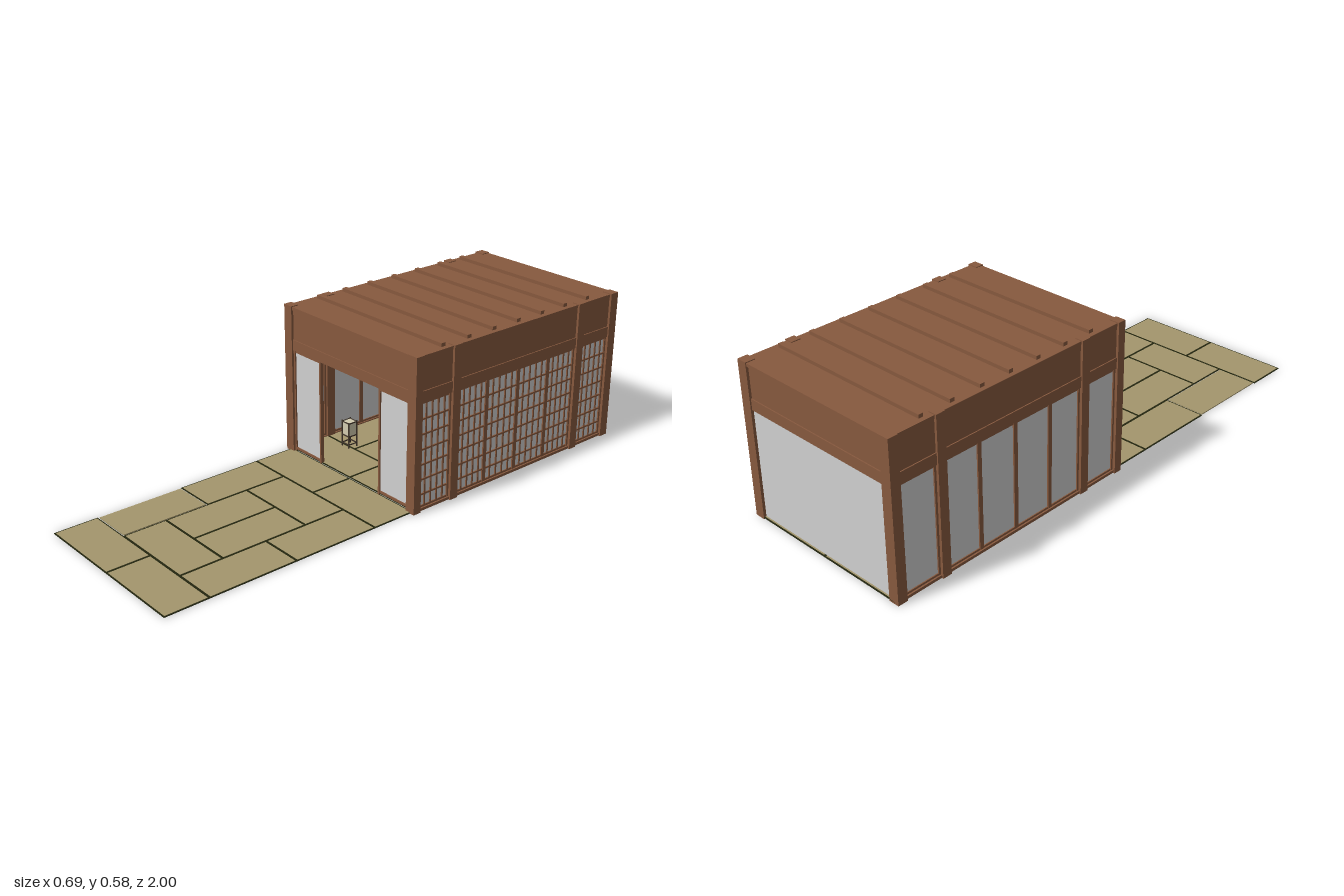
import * as THREE from 'three';

const mat = (name, color) => {
  const m = new THREE.MeshStandardMaterial({ color });
  m.name = name;
  return m;
};

export function createModel() {
  const wood = mat('brown wood', 0x87593e);
  const paper = mat('light grey paper', 0xd0d0d0);
  const straw = mat('straw', 0xa4966d);
  const edging = mat('dark edging', 0x23260f);
  const lampWood = mat('lamp wood', 0x3f342a);
  const lampPaper = mat('lamp paper', 0xd3ccb0);

  const root = new THREE.Group();
  root.name = 'matRoom';
  const group = (name, parent = root) => {
    const g = new THREE.Group();
    g.name = name;
    parent.add(g);
    return g;
  };
  // Box given by its bounds on each axis
  const box = (parent, name, material, [x0, x1], [y0, y1], [z0, z1]) => {
    const m = new THREE.Mesh(new THREE.BoxGeometry(x1 - x0, y1 - y0, z1 - z0), material);
    m.position.set((x0 + x1) / 2, (y0 + y1) / 2, (z0 + z1) / 2);
    m.name = name;
    parent.add(m);
    return m;
  };
  // Bounds mirrored to the chosen side of x = 0
  const side = (s, a, b) => (s > 0 ? [a, b] : [-b, -a]);

  const TOP = 0.57, HEAD = 0.405, RAIL = 0.445;

  // Floor mats: [x0, x1, z0, z1] laid around a central pair
  const W = 0.33, H = 0.165;
  const layout = [
    [-W, 0, 0, 0.17], [0, W, 0, 0.17],
    [-W, -H, 0.17, 0.5], [-W, -H, 0.5, 0.835],
    [-H, H, 0.17, 0.335],
    [-H, 0, 0.335, 0.67], [0, H, 0.335, 0.67],
    [-H, H, 0.67, 0.835],
    [H, W, 0.17, 0.5], [H, W, 0.5, 0.835],
    [-W, 0, 0.835, 1], [0, W, 0.835, 1],
  ];
  const layMats = (name, dz, y, skipEdge) => {
    const g = group(name);
    layout.forEach(([x0, x1, z0, z1], i) => {
      const e = 0.005;
      if (i !== skipEdge) {
        box(g, 'matEdging', edging, [x0, x1], [y + 0.001, y + 0.003], [z0 + dz, z1 + dz]);
      }
      box(g, 'mat', straw, [x0 + e, x1 - e], [y, y + 0.004], [z0 + e + dz, z1 - e + dz]);
    });
  };
  layMats('outerMats', 0, 0, 3);
  layMats('innerMats', -1, 0.004, -1);
  box(root, 'floorSlab', paper, [-0.335, 0.335], [0.002, 0.0045], [-0.99, 0]);

  // Posts along both long sides
  const postSpans = [[-0.02, 0.012], [-0.195, -0.16], [-0.82, -0.785], [-1, -0.963]];
  const posts = group('posts');
  for (const s of [1, -1]) {
    postSpans.forEach((z, i) => {
      const corner = i === 0 || i === 3;
      box(posts, 'post', wood, side(s, corner ? 0.307 : 0.315, 0.347), [0, TOP + 0.003], z);
    });
  }

  // Lintels and recessed upper boards on all four sides
  const upper = group('upperWalls');
  for (const s of [1, -1]) {
    box(upper, 'sideLintel', wood, side(s, 0.318, 0.342), [HEAD, RAIL], [-0.97, -0.01]);
    box(upper, 'sideBoard', wood, side(s, 0.322, 0.338), [RAIL, TOP], [-0.97, -0.01]);
    box(upper, 'sideSill', wood, side(s, 0.318, 0.342), [0.002, 0.012], [-0.97, -0.01]);
  }
  for (const [name, z0, z1] of [['front', -0.016, 0.007], ['back', -0.995, -0.972]]) {
    box(upper, name + 'Lintel', wood, [-0.31, 0.31], [HEAD, RAIL], [z0, z1]);
    box(upper, name + 'Board', wood, [-0.31, 0.31], [RAIL, TOP], [z0 + 0.004, z1 - 0.004]);
  }

  // Roof board with cross battens
  box(root, 'roof', wood, [-0.34, 0.34], [TOP - 0.012, TOP], [-0.997, 0.008]);
  const battens = group('roofBattens');
  for (let i = 0; i < 7; i++) {
    const z = -0.13 - i * 0.121;
    box(battens, 'batten', wood, [-0.323, 0.322], [TOP, 0.583], [z - 0.009, z + 0.009]);
  }

  // Paper screen in the XY plane, centred on x = 0, with a thin frame
  const screen = (name, width, lattice) => {
    const g = group(name);
    const h = width / 2, f = 0.008;
    box(g, 'screenPaper', paper, [-h + 0.001, h - 0.001], [0.004, HEAD - 0.001], [-0.002, 0.002]);
    for (const s of [1, -1]) {
      box(g, 'stile', wood, side(s, h - f, h), [0.004, HEAD], [-0.007, 0.007]);
    }
    box(g, 'bottomRail', wood, [-h + f, h - f], [0.01, 0.019], [-0.006, 0.006]);
    box(g, 'topRail', wood, [-h + f, h - f], [HEAD - f, HEAD], [-0.006, 0.006]);
    if (lattice) {
      const n = Math.round(width / 0.03);
      for (let i = 1; i < n; i++) {
        const x = -h + (i * width) / n;
        box(g, 'latticeUpright', wood, [x - 0.003, x + 0.003], [0.015, HEAD - 0.004], [0.002, 0.006]);
      }
      for (let j = 1; j <= 6; j++) {
        const y = 0.005 + j * 0.056;
        box(g, 'latticeBar', wood, [-h + f, h - f], [y - 0.003, y + 0.003], [0.002, 0.0065]);
      }
    }
    return g;
  };

  // Side screens: latticed on the left side, plain on the right
  const bays = [[-0.16, -0.02], [-0.335, -0.195], [-0.49, -0.335],
    [-0.645, -0.49], [-0.785, -0.645], [-0.963, -0.82]];
  for (const s of [1, -1]) {
    for (const [z0, z1] of bays) {
      const p = screen(s > 0 ? 'latticeScreen' : 'plainScreen', z1 - z0, s > 0);
      p.rotation.y = (s * Math.PI) / 2;
      p.position.set(s * 0.33, 0, (z0 + z1) / 2);
    }
  }

  // Front screens either side of the opening
  for (const s of [1, -1]) {
    screen('frontScreen', 0.152, false).position.set(s * 0.231, 0, -0.003);
  }

  // Back wall
  box(root, 'backWall', paper, [-0.31, 0.31], [0.004, HEAD], [-0.99, -0.98]);

  // Floor lamp just inside the opening
  const lamp = group('floorLamp');
  lamp.position.set(-0.2, 0.008, -0.17);
  const r = 0.021;
  for (const sx of [1, -1]) {
    for (const sz of [1, -1]) {
      box(lamp, 'lampLeg', lampWood, side(sx, r - 0.004, r), [0, 0.105], side(sz, r - 0.004, r));
    }
  }
  for (const y of [0.012, 0.045, 0.098]) {
    for (const s of [1, -1]) {
      box(lamp, 'lampRail', lampWood, [-r, r], [y, y + 0.004], side(s, r - 0.003, r - 0.0005));
      box(lamp, 'lampRail', lampWood, side(s, r - 0.003, r - 0.0005), [y, y + 0.004], [-r, r]);
    }
  }
  box(lamp, 'lampShade', lampPaper, [-0.017, 0.017], [0.046, 0.1], [-0.017, 0.017]);

  return root;
}
